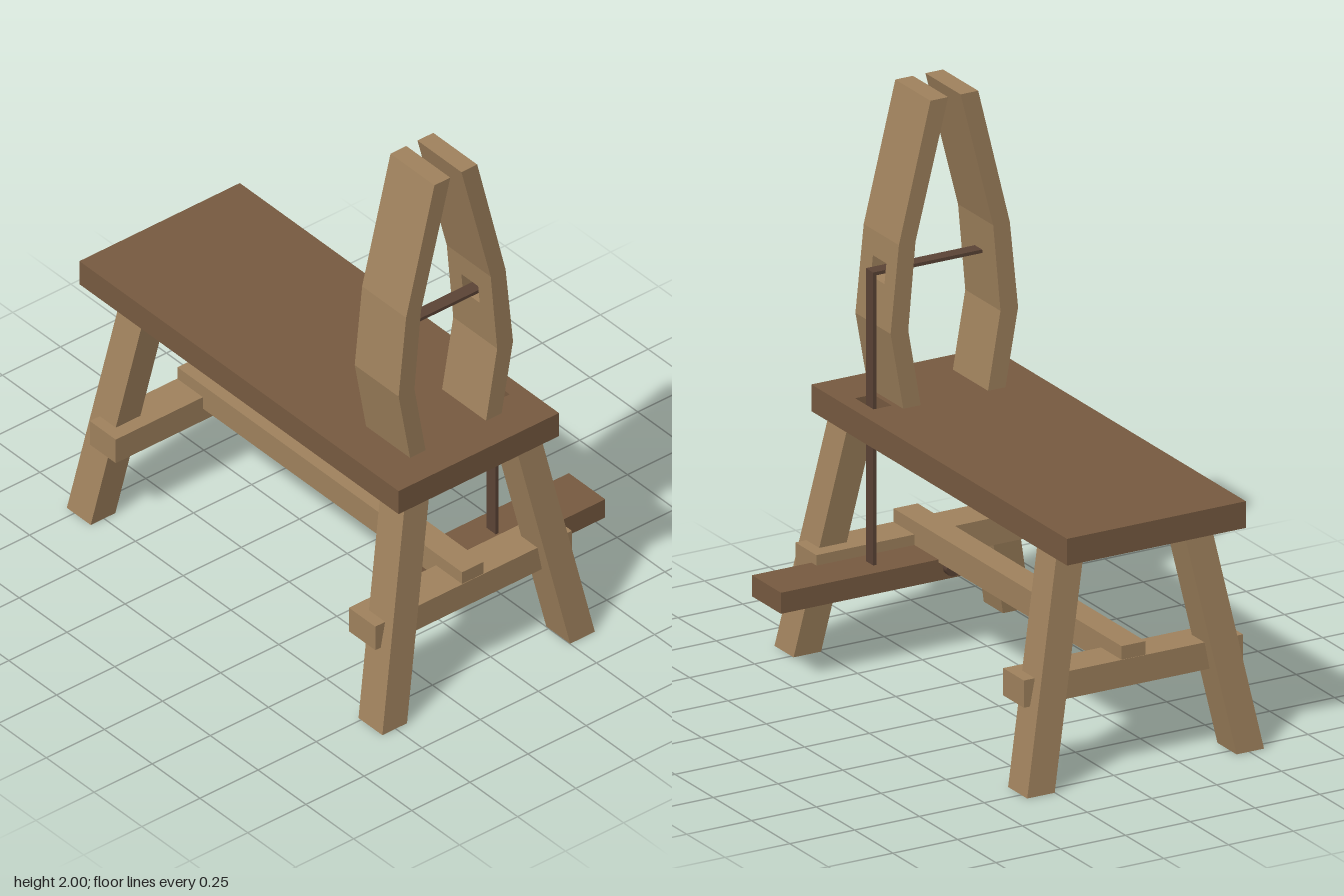
import * as THREE from 'three';

export function createModel() {
  const group = new THREE.Group();
  const material = (name, color) => {
    const m = new THREE.MeshStandardMaterial({ color });
    m.name = name;
    return m;
  };
  const lightWood = material('light wood', 0xa1835e);
  const darkWood = material('dark wood', 0x785b41);
  const leather = material('leather', 0x5c4436);
  const MID = -0.1; // bench centre line in x

  const add = (name, geometry, mat, parent = group) => {
    const mesh = new THREE.Mesh(geometry, mat);
    mesh.name = name;
    parent.add(mesh);
    return mesh;
  };
  // Box given by its minimum and maximum corners
  const block = (name, [x0, y0, z0], [x1, y1, z1], mat) => {
    const g = new THREE.BoxGeometry(x1 - x0, y1 - y0, z1 - z0);
    g.translate((x0 + x1) / 2, (y0 + y1) / 2, (z0 + z1) / 2);
    return add(name, g, mat);
  };
  const rect = (Type, x0, y0, x1, y1) => new Type([
    [x0, y0], [x1, y0], [x1, y1], [x0, y1],
  ].map(([x, y]) => new THREE.Vector2(x, y)));

  // Bench top with a slot for the strap
  const top = rect(THREE.Shape, -0.445, -0.86, 0.245, 0.81);
  top.holes.push(rect(THREE.Path, 0.115, 0.505, 0.185, 0.625));
  const topGeometry = new THREE.ExtrudeGeometry(top, { depth: 0.095, bevelEnabled: false });
  topGeometry.rotateX(Math.PI / 2).translate(0, 0.925, 0);
  add('benchTop', topGeometry, darkWood);

  // Splayed legs: boxes sheared between foot and top, cut level at both ends
  const LEG_H = 0.83;
  const leg = (name, side, zFoot, zTop) => {
    const g = new THREE.BoxGeometry(0.106, LEG_H, 0.125);
    const p = g.attributes.position;
    for (let i = 0; i < p.count; i++) {
      const t = p.getY(i) / LEG_H + 0.5;
      p.setXYZ(i,
        p.getX(i) + MID + side * THREE.MathUtils.lerp(0.404, 0.24, t),
        t * LEG_H,
        p.getZ(i) + THREE.MathUtils.lerp(zFoot, zTop, t));
    }
    g.computeVertexNormals();
    add(name, g, lightWood);
  };
  for (const side of [-1, 1]) {
    const label = side > 0 ? 'Left' : 'Right';
    leg('frontLeg' + label, side, 0.799, 0.717);
    leg('backLeg' + label, side, -0.727, -0.646);
  }

  // Stretchers
  block('frontStretcher', [-0.523, 0.29, 0.645], [0.323, 0.387, 0.783], lightWood);
  block('backStretcher', [-0.523, 0.29, -0.71], [0.323, 0.387, -0.575], lightWood);
  block('longStretcher', [-0.148, 0.34, -0.708], [-0.055, 0.435, 0.781], lightWood);

  // Clamp jaws: bent boards, given as [height, inner offset, outer offset] from the centre line
  const bends = [[0.925, 0.13, 0.197], [1.2, 0.178, 0.246], [1.51, 0.15, 0.214], [2, 0.024, 0.092]];
  const offsetsAt = (y) => {
    const i = Math.max(1, bends.findIndex((b) => b[0] >= y));
    const [a, b] = [bends[i - 1], bends[i]];
    const t = (y - a[0]) / (b[0] - a[0]);
    return [y, a[1] + (b[1] - a[1]) * t, a[2] + (b[2] - a[2]) * t];
  };
  const jawPiece = (name, side, y0, y1, z0, z1, parent) => {
    const rows = [offsetsAt(y0), ...bends.filter((b) => b[0] > y0 && b[0] < y1), offsetsAt(y1)];
    const outline = [
      ...rows.map(([y, , outer]) => new THREE.Vector2(MID + side * outer, y)),
      ...rows.slice().reverse().map(([y, inner]) => new THREE.Vector2(MID + side * inner, y)),
    ];
    const g = new THREE.ExtrudeGeometry(new THREE.Shape(outline), { depth: z1 - z0, bevelEnabled: false });
    g.translate(0, 0, z0);
    add(name, g, lightWood, parent);
  };
  jawPiece('rightJaw', -1, 0.925, 2, 0.46, 0.69, group);

  // Left jaw, pieced around a window for the strap
  const leftJaw = new THREE.Group();
  leftJaw.name = 'leftJaw';
  group.add(leftJaw);
  jawPiece('jawBack', 1, 0.925, 2, 0.46, 0.527, leftJaw);
  jawPiece('jawFront', 1, 0.925, 2, 0.615, 0.69, leftJaw);
  jawPiece('jawBelowWindow', 1, 0.925, 1.353, 0.527, 0.615, leftJaw);
  jawPiece('jawAboveWindow', 1, 1.425, 2, 0.527, 0.615, leftJaw);

  // Strap from the far jaw, through the window and down to the treadle
  block('strapAcross', [-0.265, 1.38, 0.55], [0.16, 1.392, 0.598], leather);
  block('strapDown', [0.147, 0.345, 0.55], [0.16, 1.392, 0.598], leather);

  // Treadle and its pivot pin
  block('treadle', [-0.14, 0.275, 0.487], [0.553, 0.35, 0.677], darkWood);
  const pin = new THREE.CylinderGeometry(0.029, 0.029, 0.24, 12);
  pin.rotateX(Math.PI / 2).translate(-0.1, 0.318, 0.582);
  add('treadlePin', pin, leather);

  return group;
}
